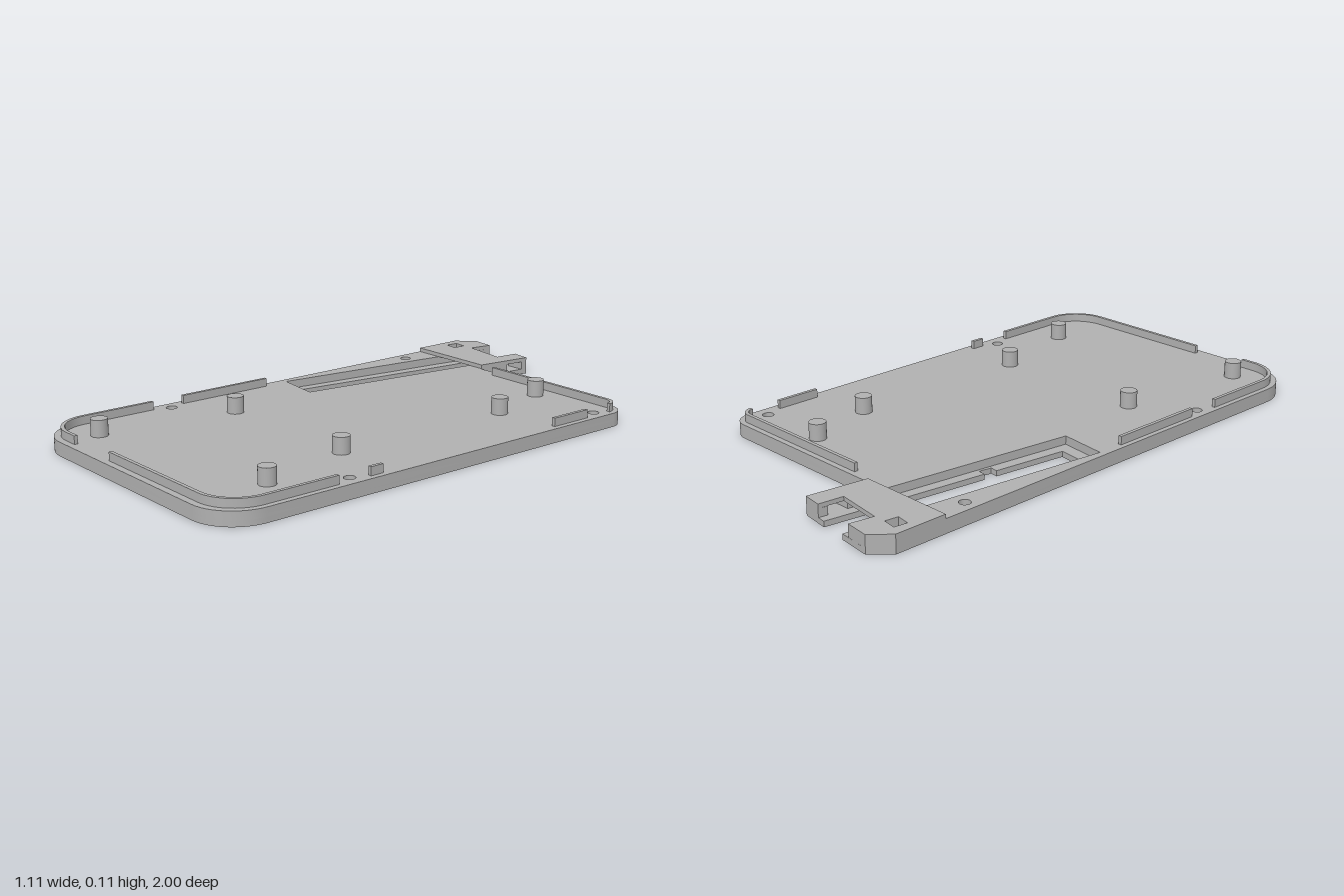
import * as THREE from 'three';
import { toCreasedNormals } from 'three/addons/utils/BufferGeometryUtils.js';

const PI = Math.PI;

// Points [x, z] along an arc
function arc(cx, cz, r, a0, a1, n = 12) {
  return Array.from({ length: n + 1 }, (_, i) => {
    const a = a0 + ((a1 - a0) * i) / n;
    return [cx + r * Math.cos(a), cz + r * Math.sin(a)];
  });
}

const toVec = (pts) => pts.map(([x, z]) => new THREE.Vector2(x, -z));

// Plan outline raised from y0 to y1
function slab(pts, y0, y1, holes = []) {
  const shape = new THREE.Shape(toVec(pts));
  holes.forEach((h) => shape.holes.push(new THREE.Path(toVec(h))));
  const geo = new THREE.ExtrudeGeometry(shape, { depth: y1 - y0, bevelEnabled: false });
  geo.rotateX(-PI / 2).translate(0, y0, 0);
  return toCreasedNormals(geo, 0.5);
}

export function createModel() {
  const model = new THREE.Group();
  model.name = 'casePlate';
  const grey = new THREE.MeshStandardMaterial({ color: 0xb0b0b0 });
  grey.name = 'grey plastic';
  const add = (name, geo) => {
    const mesh = new THREE.Mesh(geo, grey);
    mesh.name = name;
    model.add(mesh);
    return mesh;
  };

  const floorY = 0.02, plateY = 0.05, tabY = 0.065, lipY = 0.08, postY = 0.11;

  // Rounded plate outline, shared by both plate layers
  const body = [
    ...arc(-0.395, 0.84, 0.16, PI, PI / 2),
    ...arc(0.392, 0.84, 0.16, PI / 2, 0),
    ...arc(0.482, -0.667, 0.07, 0, -PI / 2),
    [-0.193, -0.737],
  ];
  const tabLeft = [[-0.495, -1], [-0.555, -0.935]];

  // Screw holes and the square hole in the tab
  const screwHoles = [[-0.508, -0.62], [0.5, -0.62], [-0.508, 0.49], [0.5, 0.49]]
    .map(([x, z]) => arc(x, z, 0.02, 0, 2 * PI, 20).slice(0, -1));
  const squareHole = [[-0.515, -0.908], [-0.465, -0.901], [-0.471, -0.853], [-0.521, -0.86]];
  const holes = [...screwHoles, squareHole];

  // Lower layer with the narrow slot, open at the back
  add('plateFloor', slab([
    ...body,
    [-0.164, -0.96], [-0.267, -0.974], [-0.3, -0.74],
    [-0.347, -0.385], [-0.318, -0.381], [-0.326, -0.335], [-0.354, -0.338],
    [-0.39, -0.068], [-0.487, -0.08], [-0.4, -0.74], [-0.373, -0.987],
    ...tabLeft,
  ], 0, floorY, holes));

  // Upper layer with the wide channel and the side window of the right lug
  add('plateTop', slab([
    ...body,
    [-0.177, -0.866], [-0.247, -0.866], [-0.262, -0.74],
    [-0.355, -0.015], [-0.53, -0.037], [-0.442, -0.74], [-0.405, -0.99],
    ...tabLeft,
  ], floorY, plateY, holes));
  add('lugEnd', slab([
    [-0.241, -0.937], [-0.167, -0.937], [-0.164, -0.96], [-0.236, -0.97],
  ], floorY, plateY));

  // Bridge over the channel, notched at the back
  add('tabBridge', slab([
    [-0.193, -0.74], [-0.164, -0.96], [-0.236, -0.97], [-0.246, -0.879],
    [-0.42, -0.902], [-0.405, -0.99], ...tabLeft, [-0.555, -0.74],
  ], plateY, tabY, [squareHole]));

  // Raised lips: each path is given as a function of its sideways offset
  const lip = (name, path) =>
    add(name, slab([...path(0.0065), ...path(-0.0065).reverse()], plateY, lipY));
  const xl = -0.53, xr = 0.525, zf = 0.969, zb = -0.71;
  lip('lipFrontLeft', (d) => [
    [xl - d, 0.555], ...arc(xl + 0.135, zf - 0.135, 0.135 + d, PI, PI / 2), [-0.34, zf + d],
  ]);
  lip('lipFrontRight', (d) => [
    [-0.118, zf + d], ...arc(xr - 0.135, zf - 0.135, 0.135 + d, PI / 2, 0), [xr + d, 0.555],
  ]);
  lip('lipBack', (d) => [
    [-0.097, zb - d], ...arc(xr - 0.04, zb + 0.04, 0.04 + d, -PI / 2, 0),
  ]);
  lip('lipLeft', (d) => [[xl - d, 0.06], [xl - d, 0.43]]);
  lip('lipRightShort', (d) => [[xr + d, 0.38], [xr + d, 0.43]]);
  lip('lipRightBack', (d) => [[xr + d, -0.555], [xr + d, -0.39]]);

  // Support posts
  const postGeo = new THREE.CylinderGeometry(0.03, 0.03, postY - plateY, 28);
  [[0.208, -0.627], [0.293, -0.36], [-0.315, 0.347], [0.288, 0.352], [0.386, 0.72], [-0.379, 0.858]]
    .forEach(([x, z]) => add('post', postGeo).position.set(x, (postY + plateY) / 2, z));

  return model;
}
